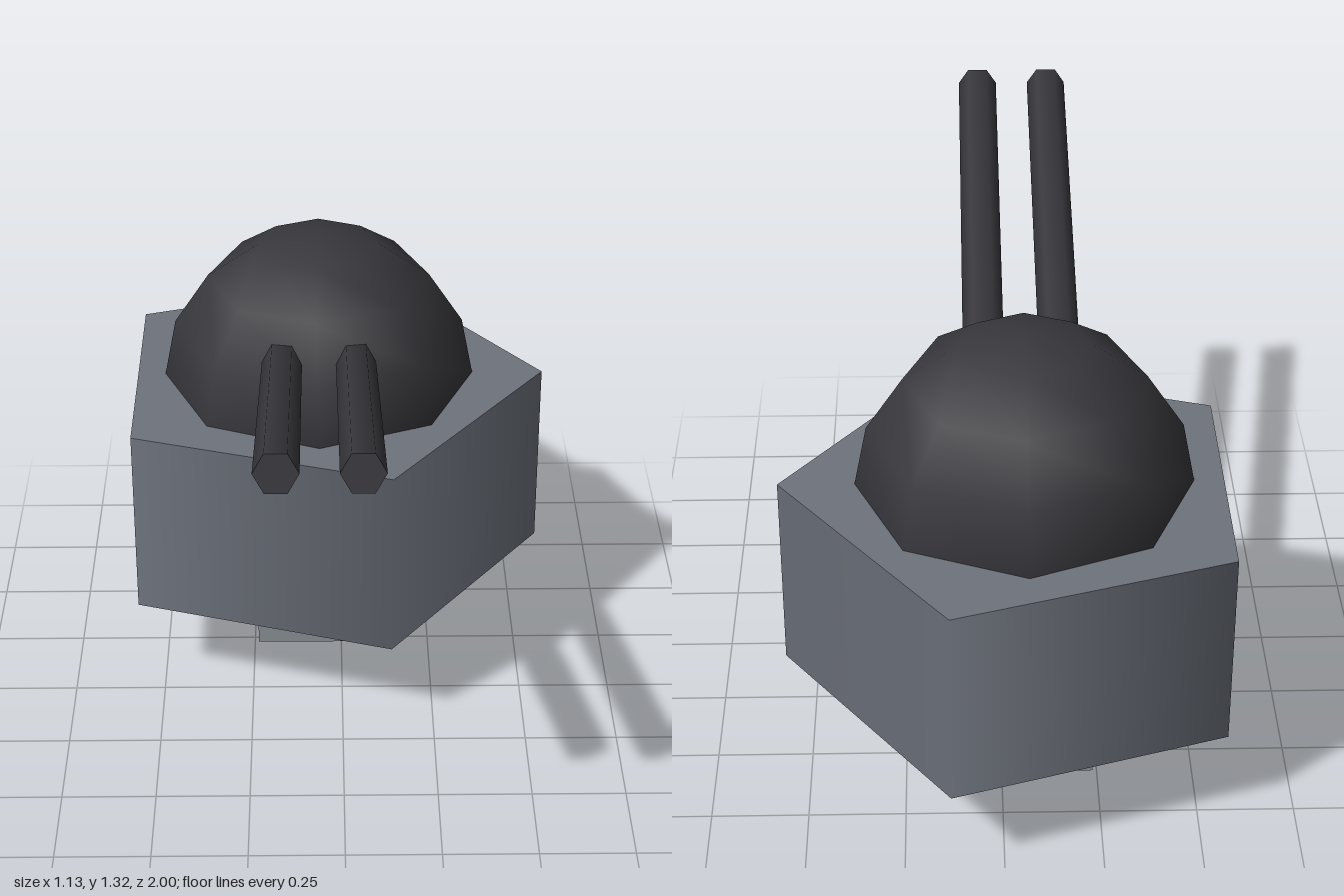
import * as THREE from 'three';

export function createModel() {
  const model = new THREE.Group();
  const pedestalGrey = new THREE.MeshStandardMaterial({ color: 0x8f979c });
  const housingGrey = new THREE.MeshStandardMaterial({ color: 0x6e737d });
  const gunBlack = new THREE.MeshStandardMaterial({ color: 0x38373c });
  pedestalGrey.name = 'pedestalGrey';
  housingGrey.name = 'housingGrey';
  gunBlack.name = 'gunBlack';

  const add = (name, geometry, material, x, y, z) => {
    const mesh = new THREE.Mesh(geometry, material);
    mesh.name = name;
    mesh.position.set(x, y, z);
    model.add(mesh);
    return mesh;
  };

  // Turret axis
  const cx = -0.061, cz = -0.405;
  const quarter = Math.PI / 2;

  // Square pedestal
  add('pedestal', new THREE.BoxGeometry(0.357, 0.256, 0.357), pedestalGrey, cx, 0.128, cz);

  // Five-sided housing with one corner towards +x
  add('housing', new THREE.CylinderGeometry(0.626, 0.626, 0.534, 5, 1, false, quarter),
    housingGrey, cx, 0.523, cz);

  // Eight-sided dome
  add('dome', new THREE.SphereGeometry(0.43, 8, 4, 0, Math.PI * 2, 0, quarter),
    gunBlack, cx, 0.79, cz);

  // Twin hexagonal barrels, raised 15 degrees, rooted inside the dome
  const tilt = Math.PI / 12, length = 1.25;
  for (const [name, side] of [['leftBarrel', 1], ['rightBarrel', -1]]) {
    const barrel = add(name, new THREE.CylinderGeometry(0.0535, 0.0535, length, 6, 1, false, quarter),
      gunBlack, cx + side * 0.0985,
      1.278 - Math.sin(tilt) * length / 2, 0.988 - Math.cos(tilt) * length / 2);
    barrel.rotation.x = quarter - tilt;
  }
  return model;
}
